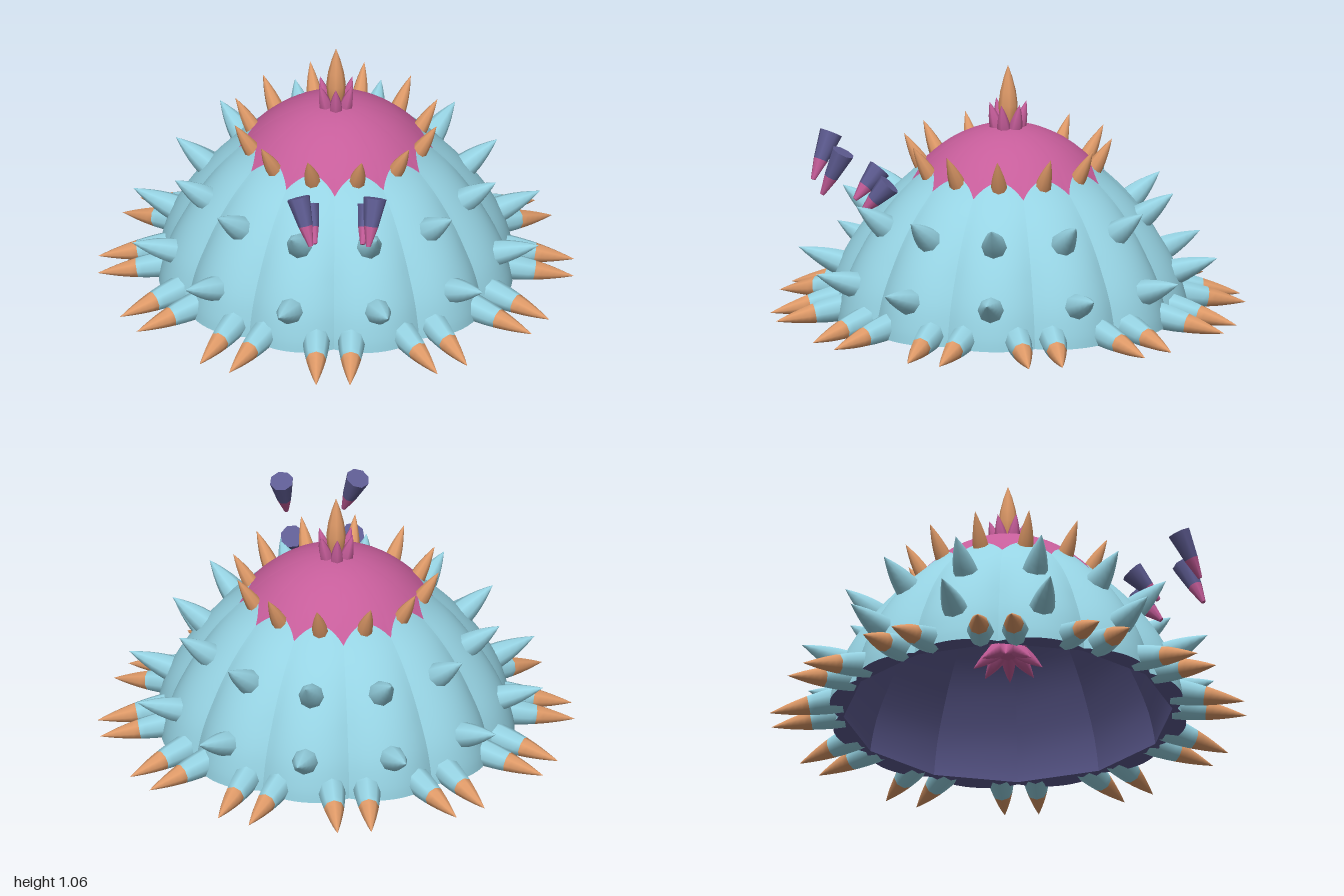
import * as THREE from 'three';

const V = (x, y, z) => new THREE.Vector3(x, y, z);
const LOBES = 12, STEP = (Math.PI * 2) / LOBES;

const mat = (name, color) => Object.assign(new THREE.MeshStandardMaterial({ color }), { name });

// Dome profile (radius, height), bottom to top
const PROFILE = new THREE.SplineCurve([
  [0.755, 0.02], [0.745, 0.08], [0.715, 0.18], [0.66, 0.29], [0.585, 0.4], [0.5, 0.5],
  [0.405, 0.59], [0.34, 0.655], [0.26, 0.72], [0.165, 0.77], [0.08, 0.795], [0, 0.803],
].map(([r, y]) => new THREE.Vector2(r, y)));
const LAST = 11;

// Point on one lobe: u runs across the lobe, k is the profile position 0..11
function lobePoint(u, k, scale = 1) {
  const p = PROFILE.getPoint(k / LAST), c = 2 * u - 1;
  const groove = 0.06 * THREE.MathUtils.clamp((7 - k) / 4, 0, 1);
  const r = Math.max(p.x, 0) * (1 - groove * c * c) * scale;
  const a = u * STEP;
  return V(r * Math.sin(a), 0.02 + (p.y - 0.02) * scale, r * Math.cos(a));
}

// Scalloped border between skin and cap
const border = (u) => 6.85 - 0.95 * (2 * u - 1) ** 2;

// Grid surface from a function of u and v
function surface(f, nu, nv) {
  const g = new THREE.PlaneGeometry(1, 1, nu, nv);
  const pos = g.attributes.position;
  for (let i = 0; i < pos.count; i++) {
    const p = f(pos.getX(i) + 0.5, pos.getY(i) + 0.5);
    pos.setXYZ(i, p.x, p.y, p.z);
  }
  g.computeVertexNormals();
  return g;
}

// Tapering spike from a to b; t0..t1 selects a stretch of it
function spike(a, b, radius, { t0 = 0, t1 = 1, sides = 8, power = 1.7 } = {}) {
  const dir = b.clone().sub(a), len = dir.length(), pts = [];
  for (let i = 0; i <= 6; i++) {
    const t = t0 + ((t1 - t0) * i) / 6;
    pts.push(new THREE.Vector2(radius * (1 - t ** power), t * len));
  }
  const g = new THREE.LatheGeometry(pts, sides);
  g.applyQuaternion(new THREE.Quaternion().setFromUnitVectors(V(0, 1, 0), dir.normalize()));
  return g.translate(a.x, a.y, a.z);
}

// Flatten whatever reaches below the ground
function rest(g) {
  const pos = g.attributes.position;
  for (let i = 0; i < pos.count; i++) pos.setY(i, Math.max(pos.getY(i), 0));
  g.computeVertexNormals();
  return g;
}

// Straight tapered section from a to b
function taper(a, b, ra, rb) {
  const dir = b.clone().sub(a), len = dir.length();
  const g = new THREE.CylinderGeometry(rb, ra, len, 8);
  g.applyQuaternion(new THREE.Quaternion().setFromUnitVectors(V(0, 1, 0), dir.normalize()));
  const m = a.clone().add(b).multiplyScalar(0.5);
  return g.translate(m.x, m.y, m.z);
}

export function createModel() {
  const model = new THREE.Group();
  model.name = 'spikedDome';
  const teal = mat('tealSkin', 0x96d3e3);
  const orange = mat('orangeHorn', 0xdf9a68);
  const pink = mat('pinkFlesh', 0xc65d9a);
  const indigo = mat('indigoLining', 0x5e5c92);

  const add = (parent, name, geometry, material) => {
    const m = new THREE.Mesh(geometry, material);
    m.name = name;
    parent.add(m);
    return m;
  };

  // Geometry shared by every lobe
  const skin = surface((u, v) => lobePoint(u, v * border(u)), 12, 24);
  const cap = surface((u, v) => {
    const k = border(u);
    return lobePoint(u, k + v * (LAST - k));
  }, 12, 10);
  const lining = surface((u, v) => lobePoint(1 - u, v * LAST, 0.97), 1, 18);
  const rim = surface((u, v) => {
    const inner = lobePoint(0, 0, 0.97).lerp(lobePoint(1, 0, 0.97), 1 - u);
    return lobePoint(1 - u, 0).lerp(inner, v);
  }, 12, 1);
  const lowerSpike = spike(V(0, 0.175, 0.67), V(0, 0.25, 0.88), 0.058);
  const upperSpike = spike(V(0, 0.405, 0.54), V(0, 0.525, 0.695), 0.056);
  const collarHorn = spike(V(0, 0.605, 0.35), V(0, 0.755, 0.437), 0.036);

  for (let i = 0; i < LOBES; i++) {
    const lobe = new THREE.Group();
    lobe.name = 'lobe';
    lobe.rotation.y = i * STEP;
    add(lobe, 'skin', skin, teal);
    add(lobe, 'cap', cap, pink);
    add(lobe, 'lining', lining, indigo);
    add(lobe, 'rim', rim, indigo);

    // Spikes along the middle of the lobe
    const ridge = new THREE.Group();
    ridge.name = 'ridgeSpikes';
    ridge.rotation.y = STEP / 2;
    add(ridge, 'lowerSpike', lowerSpike, teal);
    add(ridge, 'upperSpike', upperSpike, teal);
    add(ridge, 'collarHorn', collarHorn, orange);
    lobe.add(ridge);

    // Pair of ground claws beside the seam
    for (const s of [-1, 1]) {
      const a = V(s * 0.075, 0.075, 0.64), b = V(s * 0.071, 0.012, 0.995);
      add(lobe, 'clawBase', rest(spike(a, b, 0.06, { t0: 0.15, t1: 0.535, power: 2 })), teal);
      add(lobe, 'clawTip', rest(spike(a, b, 0.06, { t0: 0.535, power: 2 })), orange);
    }
    model.add(lobe);
  }

  // Top horn with its crown of petals
  const hornProfile = [[0.02, 0.78], [0.036, 0.84], [0.041, 0.89], [0.033, 0.95], [0.018, 1.01], [0, 1.062]];
  add(model, 'topHorn', new THREE.LatheGeometry(hornProfile.map(([r, y]) => new THREE.Vector2(r, y)), 8), orange);
  for (let i = 0; i < 6; i++) {
    const petal = add(model, 'crownPetal', spike(V(0, 0.785, 0.045), V(0, 0.905, 0.078), 0.03, { sides: 6 }), pink);
    petal.rotation.y = (i * Math.PI) / 3;
  }

  // Mouth tube and teeth hanging inside the dome
  add(model, 'mouthTube', taper(V(0, 0.29, 0), V(0, 0.77, 0), 0.075, 0.11), pink);
  for (let i = 0; i < 8; i++) {
    const tooth = add(model, 'mouthTooth', spike(V(0, 0.3, 0.05), V(0, 0.225, 0.145), 0.034, { sides: 6 }), pink);
    tooth.rotation.y = (i * Math.PI) / 4;
  }

  // Four loose darts in front: blunt end, point
  const darts = [
    [V(-0.148, 0.76, 0.725), V(-0.095, 0.575, 0.81)],
    [V(0.172, 0.76, 0.725), V(0.145, 0.575, 0.81)],
    [V(-0.112, 0.605, 0.525), V(-0.08, 0.485, 0.635)],
    [V(0.143, 0.605, 0.525), V(0.118, 0.485, 0.635)],
  ];
  for (const [a, b] of darts) {
    const dart = new THREE.Group();
    dart.name = 'dart';
    const mid = a.clone().lerp(b, 0.58);
    add(dart, 'dartBody', taper(a, mid, 0.05, 0.031), indigo);
    add(dart, 'dartTip', taper(mid, b, 0.031, 0.01), pink);
    model.add(dart);
  }
  return model;
}
